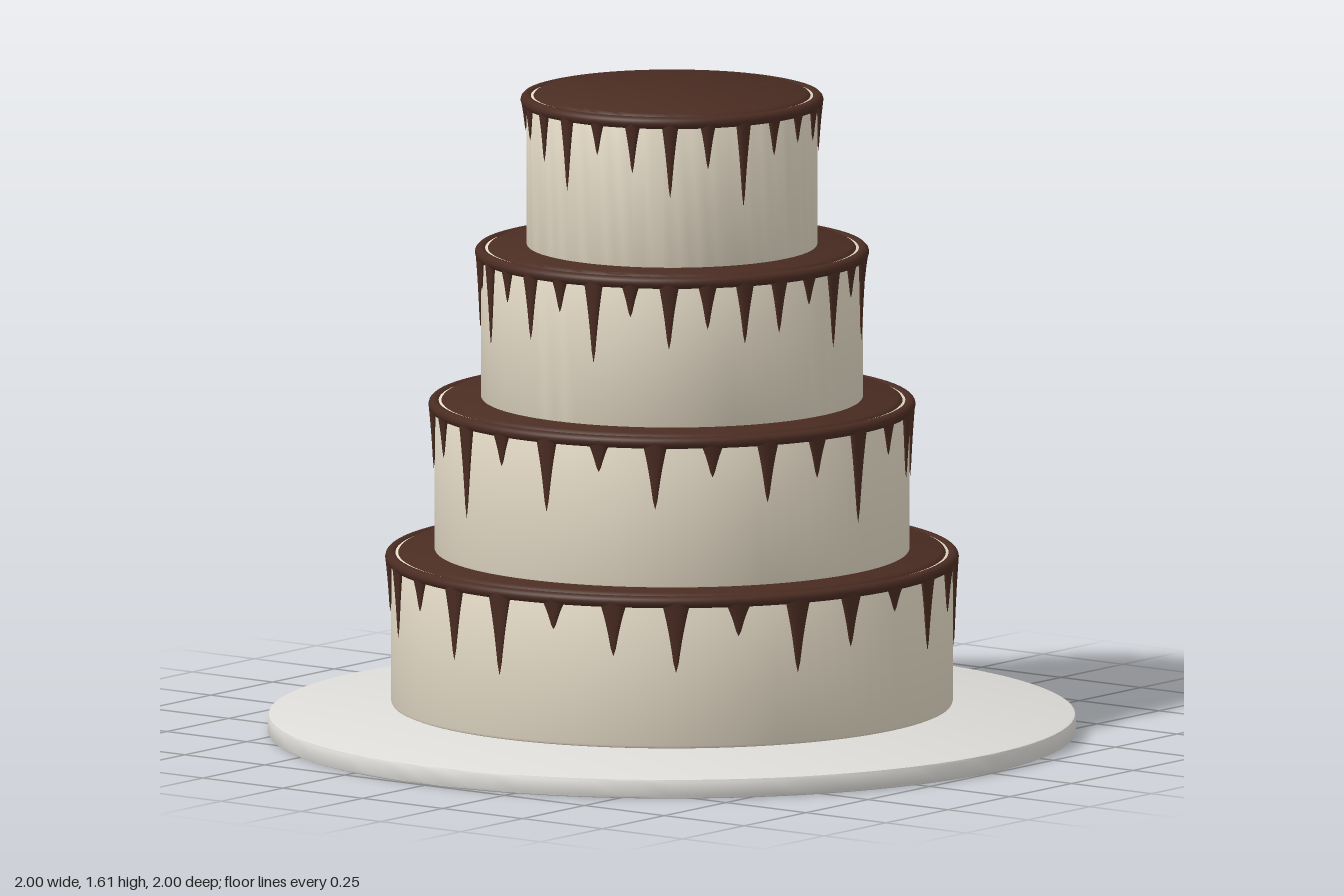
import * as THREE from 'three';
import { toCreasedNormals } from 'three/addons/utils/BufferGeometryUtils.js';

const boardMat = new THREE.MeshStandardMaterial({ color: 0xdedcd8 });
const creamMat = new THREE.MeshStandardMaterial({ color: 0xe4dac6 });
const chocolateMat = new THREE.MeshStandardMaterial({ color: 0x4a2c22 });

const TIER_HEIGHT = 0.382;
const FIRST_TIER_Y = 0.075;

// Each tier: side radius, drip half-width, number of drips, angle of the first
// drip (degrees from the front towards +x) and drip lengths, repeated around
const TIERS = [
  { r: 0.695, w: 0.036, count: 28, start: 0, lengths: [0.2, 0.07, 0.13, 0.17, 0.08, 0.18, 0.13, 0.06, 0.18, 0.11, 0.22] },
  { r: 0.588, w: 0.032, count: 26, start: 6, lengths: [0.18, 0.07, 0.16, 0.08, 0.15, 0.1, 0.23, 0.08, 0.16] },
  { r: 0.473, w: 0.027, count: 31, start: 2, lengths: [0.08, 0.2, 0.08, 0.16, 0.11, 0.15, 0.13, 0.07, 0.19] },
  { r: 0.36, w: 0.022, count: 24, start: 7, lengths: [0.08, 0.12, 0.18, 0.11, 0.21, 0.09, 0.07] },
];

function lathe(name, points, material) {
  const geometry = new THREE.LatheGeometry(points.map(([x, y]) => new THREE.Vector2(x, y)), 96);
  const mesh = new THREE.Mesh(toCreasedNormals(geometry, 0.7), material);
  mesh.name = name;
  return mesh;
}

// Disc with slightly rounded edges
function disc(name, r, y0, y1, bevel, material) {
  return lathe(name, [
    [0, y0], [r - bevel, y0], [r - bevel * 0.3, y0 + bevel * 0.3], [r, y0 + bevel],
    [r, y1 - bevel], [r - bevel * 0.3, y1 - bevel * 0.3], [r - bevel, y1], [0, y1],
  ], material);
}

// Unit drip hanging from y = 0 to y = -1, flaring where it joins the rim
const dripProfile = Array.from({ length: 8 }, (_, i) => {
  const t = i / 7;
  return new THREE.Vector2(0.45 * Math.sqrt(t) + 0.55 * t * t, t - 1);
});
const dripGeometry = new THREE.LatheGeometry(dripProfile, 12);

function buildTier({ r, w, count, start, lengths }, index) {
  const y0 = FIRST_TIER_Y + index * TIER_HEIGHT;
  const y1 = y0 + TIER_HEIGHT;
  const tier = new THREE.Group();
  tier.name = `tier${index + 1}`;
  tier.add(disc('cakeLayer', r, y0, y1 - 0.004, 0.008, creamMat));

  // Chocolate glaze on top with a rounded rim
  tier.add(lathe('glazeTop', [
    [r - 0.012, y1 - 0.012], [r - 0.02, y1], [r - 0.028, y1 + 0.005], [0, y1 + 0.005],
  ], chocolateMat));
  const rim = new THREE.Mesh(new THREE.TorusGeometry(r, 0.015, 12, 96), chocolateMat);
  rim.name = 'glazeRim';
  rim.rotation.x = Math.PI / 2;
  rim.position.y = y1 - 0.014;
  tier.add(rim);

  // Flattened drips running down the side
  const drips = new THREE.Group();
  drips.name = 'drips';
  for (let i = 0; i < count; i++) {
    const angle = THREE.MathUtils.degToRad(start + (i * 360) / count);
    const drip = new THREE.Mesh(dripGeometry, chocolateMat);
    drip.name = 'drip';
    drip.scale.set(w, lengths[i % lengths.length] + 0.01, 0.013);
    drip.rotation.y = angle;
    drip.position.set((r + 0.002) * Math.sin(angle), y1 - 0.012, (r + 0.002) * Math.cos(angle));
    drips.add(drip);
  }
  tier.add(drips);
  return tier;
}

export function createModel() {
  const cake = new THREE.Group();
  cake.name = 'tieredCake';
  cake.add(disc('cakeBoard', 1, 0, 0.05, 0.008, boardMat));
  TIERS.forEach((tier, i) => cake.add(buildTier(tier, i)));
  return cake;
}
